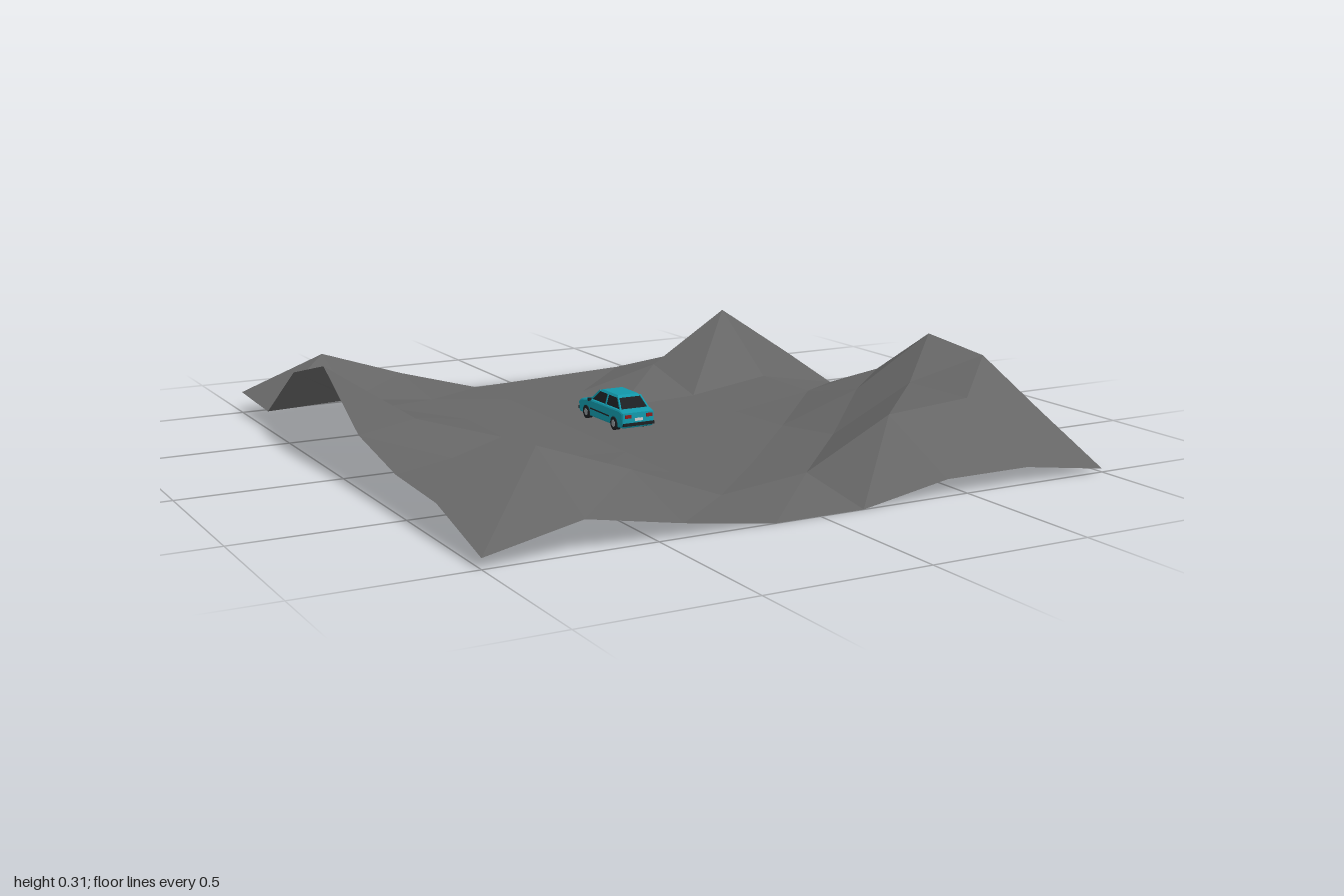
import * as THREE from 'three';

const mat = (color, extra = {}) => new THREE.MeshStandardMaterial({ color, ...extra });

function add(parent, name, geometry, material, x = 0, y = 0, z = 0) {
  const mesh = new THREE.Mesh(geometry, material);
  mesh.name = name;
  mesh.position.set(x, y, z);
  parent.add(mesh);
  return mesh;
}

// Box whose top face is narrower and shorter than its base; front is -z
function taperedBox(base, top, y0, y1) {
  const g = new THREE.BoxGeometry(1, 1, 1);
  const p = g.attributes.position;
  for (let i = 0; i < p.count; i++) {
    const up = p.getY(i) > 0;
    const s = up ? top : base;
    p.setXYZ(i, Math.sign(p.getX(i)) * s.half, up ? y1 : y0, p.getZ(i) < 0 ? s.front : s.rear);
  }
  g.computeVertexNormals();
  return g;
}

// Ground heights: rows run from back to front, columns from -x to +x
const HEIGHTS = [
  [0.07, 0.175, 0.08, 0.0, 0.01, 0.02, 0.05, 0.08],
  [0.06, 0.07, 0.04, 0.01, 0.01, 0.08, 0.255, 0.07],
  [0.24, 0.1, 0.03, 0.01, 0.01, 0.02, 0.06, 0.01],
  [0.31, 0.12, 0.03, 0.01, 0.01, 0.02, 0.06, 0.11],
  [0.16, 0.06, 0.02, 0.01, 0.01, 0.03, 0.12, 0.28],
  [0.11, 0.06, 0.03, 0.01, 0.01, 0.06, 0.195, 0.255],
  [0.1, 0.22, 0.12, 0.01, 0.04, 0.18, 0.2, 0.13],
  [0.03, 0.09, 0.04, 0.0, 0.0, 0.05, 0.05, 0.01],
];

function buildGround() {
  const g = new THREE.PlaneGeometry(2, 2, 7, 7).rotateX(-Math.PI / 2);
  HEIGHTS.flat().forEach((h, i) => g.attributes.position.setY(i, h));
  g.computeVertexNormals();
  return g;
}

// Side profile of the lower body with wheel arches; shape x points forward
function buildBody() {
  const s = new THREE.Shape();
  s.moveTo(-0.145, 0.02);
  for (const u of [-0.095, 0.1]) {
    s.lineTo(u - 0.027, 0.018);
    s.absarc(u, 0.02, 0.027, Math.PI, 0, true);
  }
  s.lineTo(0.148, 0.02);
  s.lineTo(0.152, 0.044);
  s.quadraticCurveTo(0.145, 0.055, 0.12, 0.058);
  s.lineTo(0.07, 0.064);
  s.lineTo(-0.13, 0.066);
  s.lineTo(-0.15, 0.06);
  s.lineTo(-0.152, 0.03);
  const g = new THREE.ExtrudeGeometry(s, {
    depth: 0.1, bevelThickness: 0.008, bevelSize: 0.006, bevelSegments: 2, curveSegments: 8,
  });
  return g.translate(0, 0, -0.05).rotateY(Math.PI / 2);
}

function buildCar() {
  const car = new THREE.Group();
  car.name = 'car';
  const paint = mat(0x1296a8);
  const dark = mat(0x1c1f22);
  const metal = mat(0x8a9094);
  const red = mat(0x8c1c1c);
  const lamp = mat(0xd8dcd8);

  add(car, 'body', buildBody(), paint);
  add(car, 'underbody', new THREE.BoxGeometry(0.07, 0.03, 0.29), dark, 0, 0.032, 0);

  // Cabin: dark glass, painted roof and pillars
  const base = { half: 0.051, front: -0.078, rear: 0.132 };
  const top = { half: 0.04, front: -0.03, rear: 0.092 };
  add(car, 'windows', taperedBox(base, top, 0.066, 0.104), dark);
  add(car, 'roof', taperedBox({ half: 0.042, front: -0.034, rear: 0.096 },
    { half: 0.036, front: -0.022, rear: 0.084 }, 0.103, 0.11), paint);
  for (const side of [-1, 1]) {
    const ends = [[base.front, top.front], [0.028, 0.028], [base.rear, top.rear]];
    for (const [z0, z1] of ends) {
      const a = new THREE.Vector3(side * base.half, 0.066, z0);
      const b = new THREE.Vector3(side * top.half, 0.105, z1);
      const pillar = add(car, 'pillar', new THREE.BoxGeometry(0.005, a.distanceTo(b), 0.006), paint);
      pillar.position.copy(a).lerp(b, 0.5);
      pillar.quaternion.setFromUnitVectors(new THREE.Vector3(0, 1, 0), b.sub(a).normalize());
    }

    // Wheels
    for (const z of [-0.1, 0.095]) {
      const tyre = new THREE.CylinderGeometry(0.022, 0.022, 0.018, 16).rotateZ(Math.PI / 2);
      const hub = new THREE.CylinderGeometry(0.012, 0.012, 0.02, 10).rotateZ(Math.PI / 2);
      add(car, 'tyre', tyre, dark, side * 0.05, 0.022, z);
      add(car, 'hub', hub, metal, side * 0.05, 0.022, z);
    }

    // Side details and lamps
    add(car, 'mirror', new THREE.BoxGeometry(0.012, 0.009, 0.008), dark, side * 0.061, 0.07, -0.07);
    add(car, 'sideTrim', new THREE.BoxGeometry(0.003, 0.004, 0.13), dark, side * 0.0585, 0.04, -0.003);
    add(car, 'headlamp', new THREE.BoxGeometry(0.024, 0.01, 0.006), lamp, side * 0.036, 0.045, -0.157);
    add(car, 'tailLamp', new THREE.BoxGeometry(0.022, 0.011, 0.006), red, side * 0.038, 0.053, 0.156);
  }

  // Bumpers, grille and rear plate
  for (const z of [-0.156, 0.156]) {
    add(car, 'bumper', new THREE.BoxGeometry(0.112, 0.01, 0.01), dark, 0, 0.027, z);
  }
  add(car, 'grille', new THREE.BoxGeometry(0.044, 0.009, 0.006), dark, 0, 0.045, -0.157);
  add(car, 'plate', new THREE.BoxGeometry(0.028, 0.009, 0.004), lamp, 0, 0.042, 0.158);
  return car;
}

export function createModel() {
  const model = new THREE.Group();
  model.name = 'carOnHills';
  add(model, 'ground', buildGround(), mat(0x666666, { flatShading: true, side: THREE.DoubleSide }));
  const car = buildCar();
  car.position.set(0.02, 0.01, -0.23);
  model.add(car);
  return model;
}
